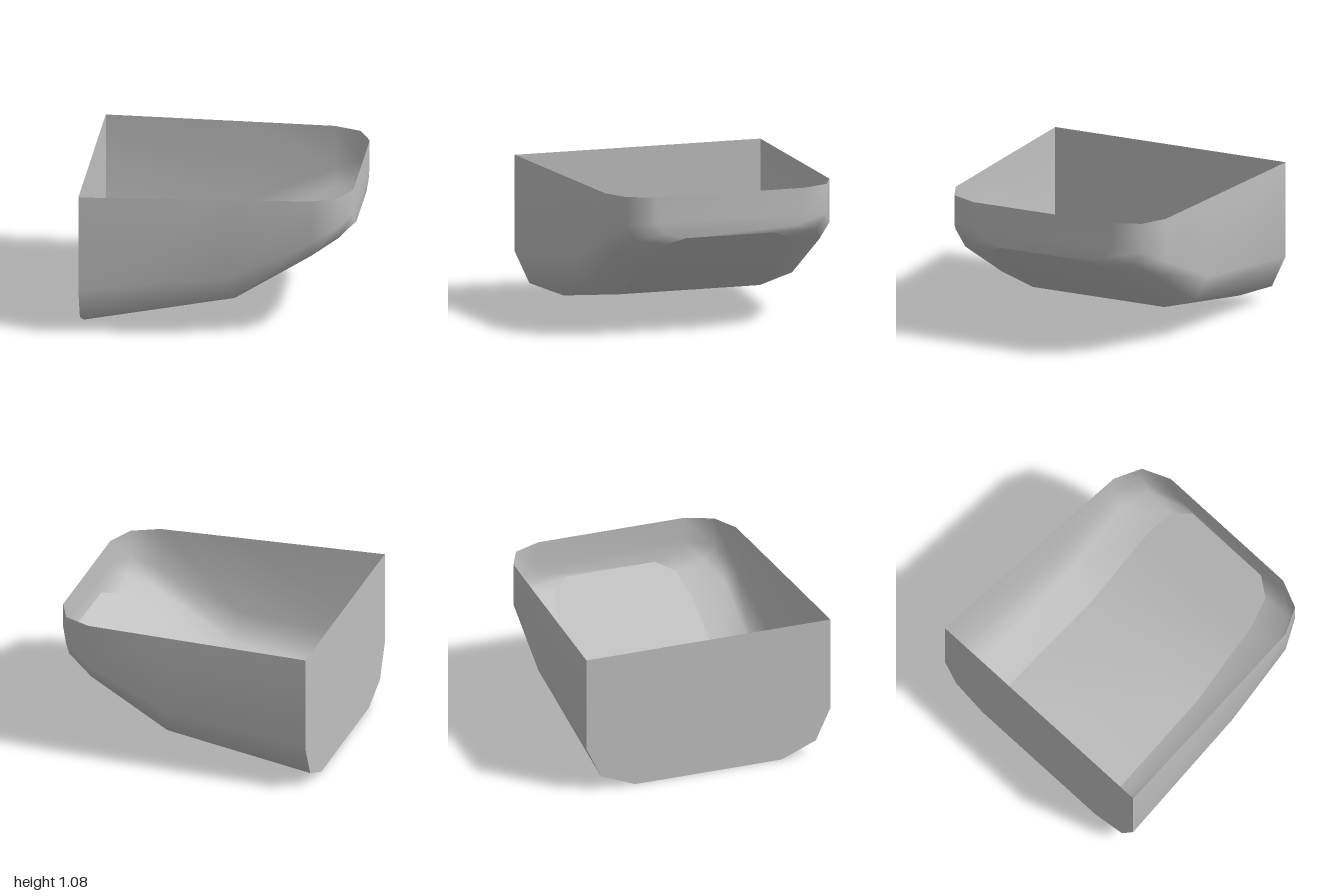
import * as THREE from 'three';

// Half cross-sections from stern to bow: x, then [z, y] from gunwale to keel edge
const stations = [
  { x: -1, pts: [[0.965, 1.08], [0.965, 0.355], [0.85, 0.11], [0.58, 0]] },
  { x: 0.12, pts: [[0.91, 1.08], [0.91, 0.48], [0.805, 0.28], [0.55, 0.2]] },
  { x: 0.71, pts: [[0.88, 1.08], [0.88, 0.75], [0.80, 0.63], [0.53, 0.575]] },
  { x: 0.91, pts: [[0.785, 1.08], [0.785, 0.86], [0.71, 0.75], [0.48, 0.703]] },
  { x: 1, pts: [[0.575, 1.08], [0.575, 0.89], [0.50, 0.80], [0.35, 0.76]] },
];

const section = ({ x, pts }, side) => pts.map(([z, y]) => [x, y, z * side]);

// Smooth sheet through rows of points; corners run down each row, rows run left to right
function sheet(rows) {
  const n = rows[0].length;
  const index = [];
  for (let i = 0; i < rows.length - 1; i++) {
    for (let j = 0; j < n - 1; j++) {
      const a = i * n + j, b = a + n;
      index.push(a, a + 1, b, b, a + 1, b + 1);
    }
  }
  return build(rows.flat(), index);
}

function build(points, index) {
  const geo = new THREE.BufferGeometry();
  geo.setAttribute('position', new THREE.Float32BufferAttribute(points.flat(), 3));
  geo.setIndex(index);
  geo.computeVertexNormals();
  return geo;
}

export function createModel() {
  const group = new THREE.Group();
  group.name = 'openHull';
  const grey = new THREE.MeshStandardMaterial({ color: 0xc0c0c0, side: THREE.DoubleSide });
  grey.name = 'hull grey';
  const add = (name, geo) => {
    const mesh = new THREE.Mesh(geo, grey);
    mesh.name = name;
    group.add(mesh);
  };

  const left = stations.map((s) => section(s, 1));
  const right = stations.map((s) => section(s, -1));

  // Side wall wrapping from one stern corner, around the bow, to the other
  add('sideWall', sheet([...left, ...right.slice().reverse()]));

  // Flat bottom that kinks upward towards the bow
  add('bottom', sheet(left.map((s, i) => [s[3], right[i][3]])));

  // Flat transom closing the stern
  const rim = [...left[0], ...right[0].slice().reverse()];
  const fan = [];
  for (let k = 1; k < rim.length - 1; k++) fan.push(0, k + 1, k);
  add('transom', build(rim, fan));

  return group;
}
